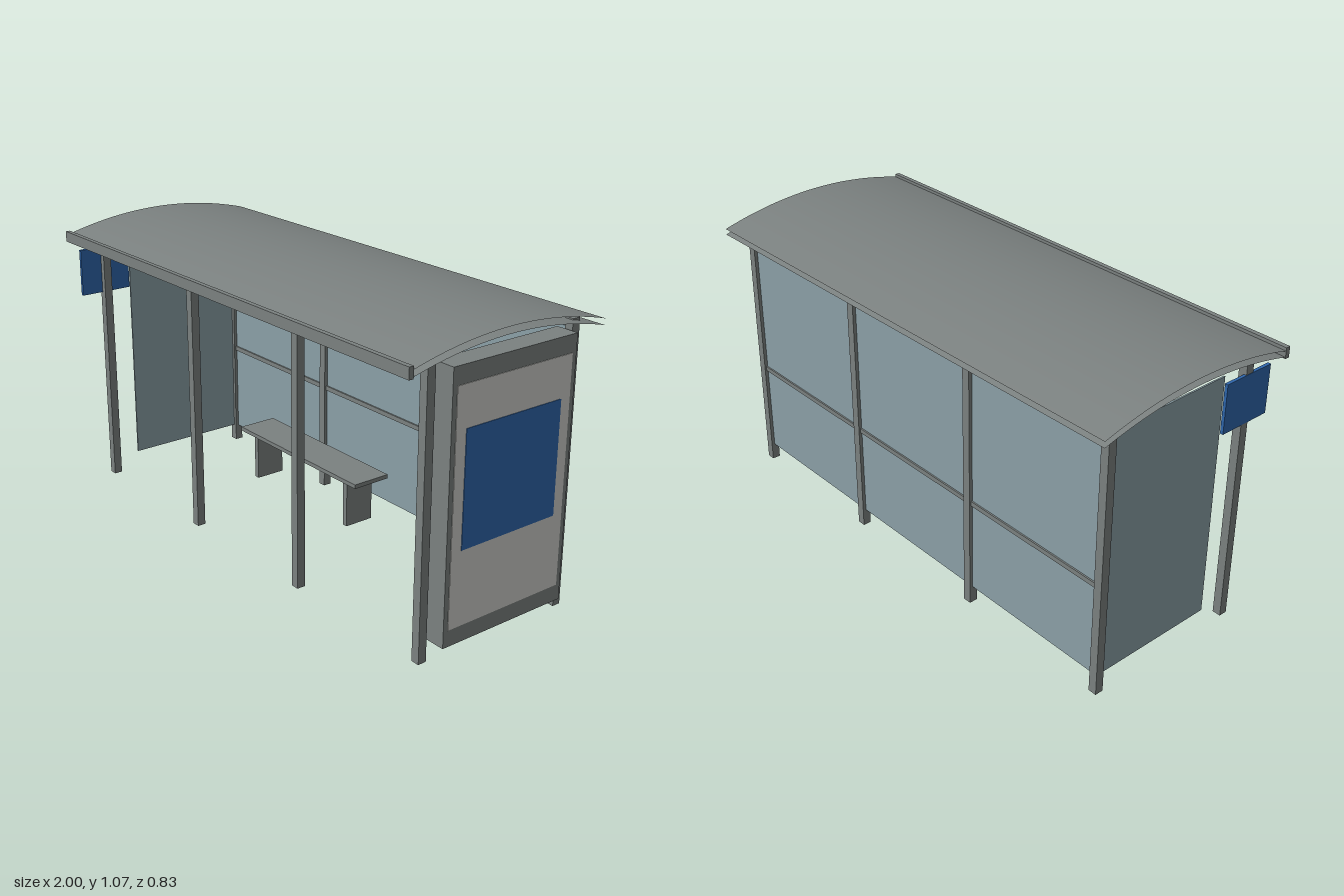
import * as THREE from 'three';

export function createModel() {
  const shelter = new THREE.Group();
  shelter.name = 'busShelter';

  const material = (name, color) => {
    const m = new THREE.MeshStandardMaterial({ color, side: THREE.DoubleSide });
    m.name = name;
    return m;
  };
  const steel = material('grey steel', 0x7b8180);
  const glass = material('tinted glass', 0x8ba0a7);
  const paper = material('pale panel', 0xcfcfca);
  const blue = material('blue', 0x2e65ab);

  const add = (name, geometry, mat) => {
    const mesh = new THREE.Mesh(geometry, mat);
    mesh.name = name;
    shelter.add(mesh);
    return mesh;
  };

  // Box given by its limits along each axis
  const box = (name, mat, [x0, x1], [y0, y1], [z0, z1]) =>
    add(name, new THREE.BoxGeometry(x1 - x0, y1 - y0, z1 - z0), mat)
      .position.set((x0 + x1) / 2, (y0 + y1) / 2, (z0 + z1) / 2);

  // Arched roof: an outer skin and a ceiling skin, open at the ends
  const halfDepth = 0.413;
  const roofSkin = (name, edgeY, rise) => {
    const g = new THREE.PlaneGeometry(2, halfDepth * 2, 1, 24).rotateX(-Math.PI / 2);
    const p = g.attributes.position;
    for (let i = 0; i < p.count; i++) {
      p.setY(i, edgeY + rise * (1 - (p.getZ(i) / halfDepth) ** 2));
    }
    g.computeVertexNormals();
    add(name, g, steel);
  };
  roofSkin('roofSkin', 1.014, 0.058);
  roofSkin('ceilingSkin', 0.992, 0.056);
  box('roofFrontBeam', steel, [-1, 1], [0.99, 1.03], [0.396, 0.414]);

  // Four posts along the front and four along the back
  for (const x of [-0.94, -0.315, 0.31, 0.935]) {
    box('frontPost', steel, [x - 0.016, x + 0.016], [0, 1.02], [0.265, 0.297]);
    box('backPost', steel, [x - 0.016, x + 0.016], [0, 1.02], [-0.347, -0.315]);
  }

  // Glazing with a middle rail
  box('backGlass', glass, [-0.94, 0.935], [0.065, 0.985], [-0.334, -0.328]);
  box('sideGlass', glass, [-0.943, -0.937], [0.065, 0.985], [-0.331, 0.175]);
  box('backRail', steel, [-0.94, 0.935], [0.412, 0.43], [-0.34, -0.322]);

  // Display case closing the left end, with a poster on both faces
  box('displayCase', steel, [0.892, 0.978], [0.042, 0.982], [-0.31, 0.22]);
  for (const [face, out] of [[0.978, 1], [0.892, -1]]) {
    const layer = (a, b) => [face + out * a, face + out * b].sort((p, q) => p - q);
    box('displayPanel', paper, layer(-0.002, 0.002), [0.102, 0.92], [-0.291, 0.202]);
    box('poster', blue, layer(0.001, 0.004), [0.37, 0.776], [-0.25, 0.16]);
  }

  // Bench on two slab legs
  box('benchSeat', steel, [-0.615, 0.118], [0.186, 0.202], [-0.29, -0.13]);
  for (const x of [-0.535, 0.038]) {
    box('benchLeg', steel, [x - 0.011, x + 0.011], [0, 0.187], [-0.27, -0.148]);
  }

  // Stop sign mounted on the front post
  box('stopSign', blue, [-0.957, -0.945], [0.778, 0.96], [0.175, 0.384]);

  return shelter;
}
